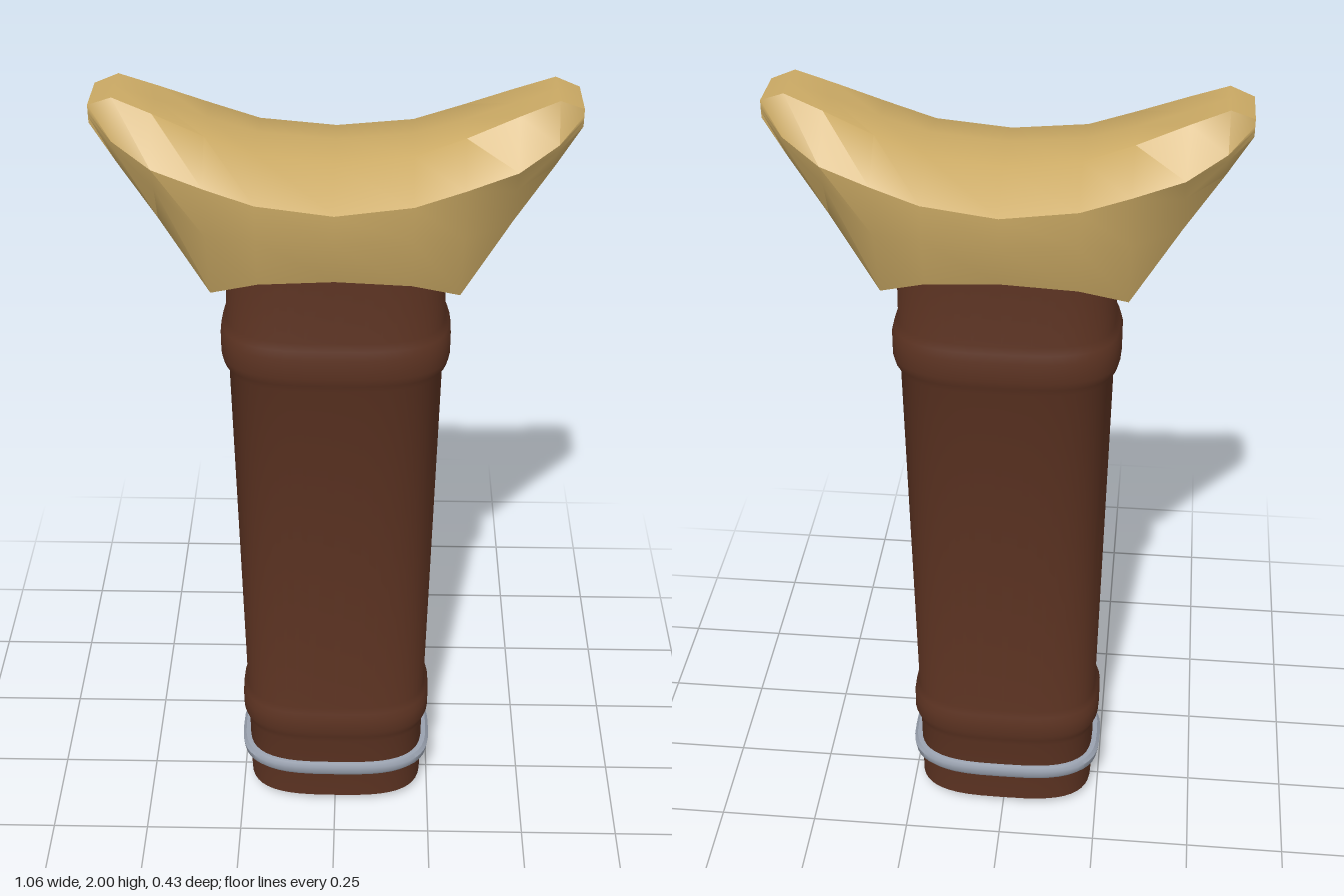
import * as THREE from 'three';
import { mergeVertices, toCreasedNormals } from 'three/addons/utils/BufferGeometryUtils.js';

const leather = new THREE.MeshStandardMaterial({ color: 0x5b3221 });
leather.name = 'brown leather';
const brass = new THREE.MeshStandardMaterial({ color: 0xcaa964 });
brass.name = 'pale brass';
const steel = new THREE.MeshStandardMaterial({ color: 0x9aa2b0 });
steel.name = 'grey steel';

// Skins a list of closed rings (equal point counts) and caps both ends.
// Rings run counter-clockwise when looked at from the last ring's end.
function loft(rings, crease) {
  const n = rings[0].length;
  const pos = [];
  const tri = (a, b, c) => pos.push(...a, ...b, ...c);
  for (let r = 0; r < rings.length - 1; r++) {
    for (let i = 0; i < n; i++) {
      const j = (i + 1) % n;
      const [a, b, c, d] = [rings[r][i], rings[r][j], rings[r + 1][j], rings[r + 1][i]];
      tri(a, b, c);
      tri(a, c, d);
    }
  }
  const cap = (ring, flip) => {
    const mid = [0, 1, 2].map(k => ring.reduce((s, p) => s + p[k], 0) / n);
    for (let i = 0; i < n; i++) {
      const j = (i + 1) % n;
      if (flip) tri(mid, ring[j], ring[i]);
      else tri(mid, ring[i], ring[j]);
    }
  };
  cap(rings[0], true);
  cap(rings[rings.length - 1], false);
  const g = new THREE.BufferGeometry();
  g.setAttribute('position', new THREE.Float32BufferAttribute(pos, 3));
  return toCreasedNormals(mergeVertices(g), crease);
}

// Rounded-rectangle ring at height y
function ovalRing(y, hx, hz, n = 48) {
  const p = 2 / 3.1;
  return Array.from({ length: n }, (_, i) => {
    const a = (i / n) * Math.PI * 2;
    const c = Math.cos(a), s = Math.sin(a);
    return [hx * Math.sign(c) * Math.abs(c) ** p, y, -hz * Math.sign(s) * Math.abs(s) ** p];
  });
}

// Profile rows are [y, half width, half depth].
const ovalSolid = (profile, crease) => loft(profile.map(([y, hx, hz]) => ovalRing(y, hx, hz)), crease);

// Guard stations along x: [x, top y, flat half depth, flat y, edge z, edge y, belly z, belly y, foot z, foot y]
const stations = [
  [0, 1.88, 0.1, 1.868, 0.215, 1.8, 0.212, 1.73, 0.172, 1.62],
  [0.17, 1.895, 0.097, 1.885, 0.2, 1.815, 0.195, 1.73, 0.16, 1.605],
  [0.28, 1.928, 0.09, 1.924, 0.178, 1.843, 0.16, 1.72, 0.1, 1.55],
  [0.39, 1.968, 0.076, 1.968, 0.155, 1.875, 0.125, 1.82, 0.078, 1.725],
  [0.475, 2.0, 0.066, 2.0, 0.112, 1.92, 0.1, 1.9, 0.068, 1.855],
  [0.528, 1.98, 0.06, 1.98, 0.061, 1.965, 0.061, 1.955, 0.06, 1.94],
];

// Cross-section of the guard, from top centre round the front to the back
function guardRing([x, topY, fz, fy, ez, ey, bz, by, lz, ly], side) {
  const half = [[fz, fy], [ez, ey], [bz, by], [lz, ly]];
  const section = [
    [0, topY],
    ...half,
    [0, ly],
    ...half.slice().reverse().map(([z, y]) => [-z, y]),
  ];
  return section.map(([z, y]) => [side * x, y, z]);
}

export function createModel() {
  const model = new THREE.Group();
  model.name = 'swordHilt';
  const add = (name, geometry, material) => {
    const mesh = new THREE.Mesh(geometry, material);
    mesh.name = name;
    model.add(mesh);
  };

  // Tapered grip with a raised band near each end
  add('grip', ovalSolid([
    [0.03, 0.23, 0.151], [0.23, 0.232, 0.153], [0.25, 0.239, 0.159], [0.27, 0.246, 0.164],
    [0.31, 0.246, 0.164], [0.33, 0.24, 0.159], [0.35, 0.234, 0.155],
    [1.33, 0.25, 0.165], [1.35, 0.262, 0.173], [1.37, 0.267, 0.177],
    [1.42, 0.267, 0.177], [1.44, 0.261, 0.172], [1.46, 0.252, 0.168], [1.66, 0.25, 0.166],
  ], 0.8), leather);

  // Metal collar around the lower end
  add('collar', ovalSolid([
    [0.108, 0.225, 0.147], [0.11, 0.236, 0.154], [0.123, 0.249, 0.162],
    [0.142, 0.252, 0.163], [0.153, 0.244, 0.158], [0.155, 0.225, 0.147],
  ], 0.7), steel);

  // Small bevelled plate under the grip
  add('endPlate', ovalSolid([[0, 0.148, 0.088], [0.03, 0.167, 0.103], [0.05, 0.167, 0.103]], 0.5), steel);

  // Curved guard with upswept tips
  const left = stations.slice(1).reverse().map(s => guardRing(s, -1));
  const right = stations.map(s => guardRing(s, 1));
  add('guard', loft([...left, ...right], 0.75), brass);

  return model;
}
